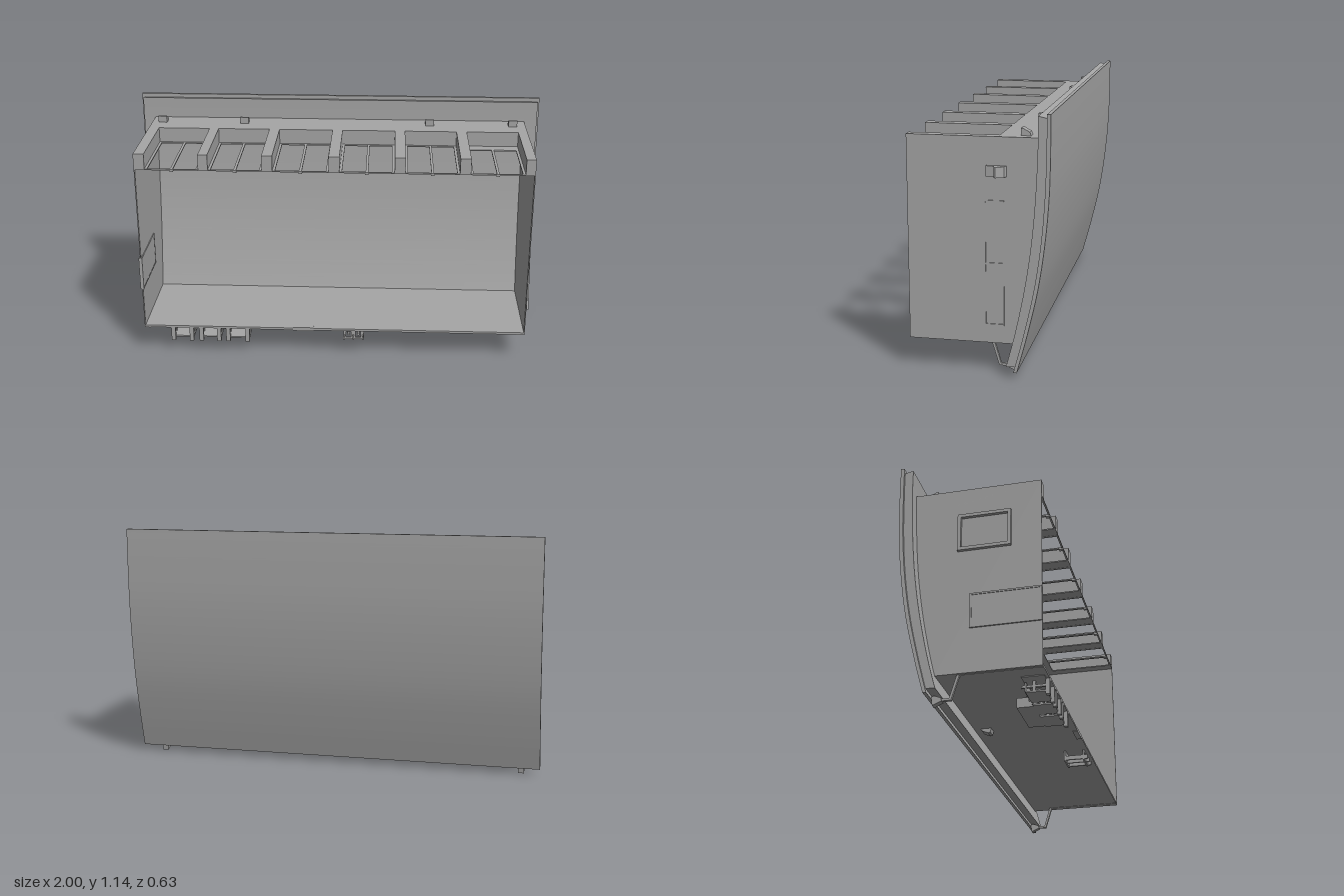
import * as THREE from 'three';
import { toCreasedNormals } from 'three/addons/utils/BufferGeometryUtils.js';

const grey = new THREE.MeshStandardMaterial({ color: 0xa6a6a6, side: THREE.DoubleSide });
grey.name = 'plain grey';

// Curved profiles as [z, y], bottom to top
const OUTER = [[-0.173, 0.03], [-0.218, 0.2], [-0.263, 0.4], [-0.292, 0.6], [-0.309, 0.8], [-0.314, 1.0], [-0.314, 1.14]];
const SEAM = [[-0.158, 0.03], [-0.202, 0.2], [-0.246, 0.4], [-0.275, 0.6], [-0.291, 0.8], [-0.297, 1.0], [-0.298, 1.14]];
const INNER = [[-0.124, 0.05], [-0.163, 0.2], [-0.204, 0.4], [-0.233, 0.6], [-0.25, 0.8], [-0.259, 1.0], [-0.26, 1.13]];

const smooth = (pts) => new THREE.SplineCurve(pts.map(([z, y]) => new THREE.Vector2(z, y))).getPoints(30).map((p) => [p.x, p.y]);
const between = (pts, lo, hi) => pts.filter(([, y]) => y >= lo && y <= hi);

export function createModel() {
  const model = new THREE.Group();
  const add = (name, geo, parent = model) => {
    const mesh = new THREE.Mesh(geo, grey);
    mesh.name = name;
    parent.add(mesh);
    return mesh;
  };
  // Box given by its limits
  const box = (name, x0, x1, y0, y1, z0, z1, parent) => {
    const geo = new THREE.BoxGeometry(x1 - x0, y1 - y0, z1 - z0);
    geo.translate((x0 + x1) / 2, (y0 + y1) / 2, (z0 + z1) / 2);
    return add(name, geo, parent);
  };
  // Side profile [z, y] swept along x
  const sweep = (name, pts, x0, x1, parent) => {
    const shape = new THREE.Shape(pts.map(([z, y]) => new THREE.Vector2(-z, y)));
    const geo = new THREE.ExtrudeGeometry(shape, { depth: x1 - x0, bevelEnabled: false });
    geo.rotateY(Math.PI / 2);
    geo.translate(x0, 0, 0);
    return add(name, toCreasedNormals(geo, 0.5), parent);
  };
  const rect = (a, b, c, d) => [[a, c], [b, c], [b, d], [a, d]].map(([x, y]) => new THREE.Vector2(x, y));
  const framed = (outer, holes, depth) => {
    const shape = new THREE.Shape(rect(...outer));
    holes.forEach((h) => shape.holes.push(new THREE.Path(rect(...h))));
    return new THREE.ExtrudeGeometry(shape, { depth, bevelEnabled: false });
  };
  // Frame standing on a side wall, limits in z and y
  const sideFrame = (name, x, depth, [z0, z1, y0, y1], panes) => {
    const geo = framed([-z1, -z0, y0, y1], panes.map(([a, b, c, d]) => [-b, -a, c, d]), depth);
    geo.rotateY(Math.PI / 2);
    geo.translate(x, 0, 0);
    return add(name, geo);
  };

  // Curved back panel in two layers
  const outer = smooth(OUTER), seam = smooth(SEAM), inner = smooth(INNER);
  sweep('outerPanel', [...outer, ...[...seam].reverse()], -1, 1);
  sweep('innerPanel', [...between(seam, 0.04, 1.13), ...[...inner].reverse()], -0.988, 0.988);
  const plate = between(inner, 0.15, 0.935);
  sweep('rearLiner', [...plate, ...plate.map(([z, y]) => [z + 0.003, y]).reverse()], -0.66, 0.66);

  // Open-fronted housing
  const L = -0.93, R = 0.925, F = 0.314;
  const wall = [[F, 0.135], [F, 1.03], [-0.262, 1.03], ...between(inner, 0.145, 1.0).reverse().map(([z, y]) => [z - 0.003, y]), [-0.146, 0.135]];
  sweep('rightWall', wall, L, L + 0.005);
  sweep('leftWall', wall, R - 0.005, R);
  box('floor', L, R, 0.132, 0.143, -0.148, F);

  // Top slab with six slots open to the front
  const slots = [[-0.88, -0.63], [-0.585, -0.335], [-0.285, -0.025], [0.025, 0.28], [0.33, 0.58], [0.63, 0.88]];
  box('topRearBlock', L, R, 0.953, 1.03, -0.262, -0.08);
  const edges = [L, ...slots.flat(), R];
  for (let i = 0; i < edges.length; i += 2) box('topRib', edges[i], edges[i + 1], 0.953, 1.03, -0.08, F);
  slots.forEach(([a, b], i) => {
    const m = (a + b) / 2, back = i === 5 ? 0.025 : 0.07;
    const geo = framed([a, b, -F, 0.08], [[a + 0.012, m - 0.006, -F + 0.008, i === 5 ? -0.025 + 0.05 : back], [m + 0.006, b - 0.012, -F + 0.008, back]], 0.006);
    geo.rotateX(-Math.PI / 2);
    geo.translate(0, 0.952, 0);
    add('slotFrame', geo);
    box('slotTab', m - 0.008, m + 0.008, 0.945, 0.952, F - 0.02, F);
  });

  // Locating lugs on the top, the left side and the underside
  const lug = [[-0.168, 1.03], [-0.168, 1.061], [-0.178, 1.061], [-0.207, 1.045], [-0.212, 1.03]];
  [-0.877, -0.468, 0.452, 0.861].forEach((x) => sweep('topLug', lug, x - 0.021, x + 0.021));
  sweep('bottomLug', [[-0.065, 0.135], [-0.07, 0.113], [-0.08, 0.11], [-0.11, 0.122], [-0.117, 0.135]], -0.321, -0.275);
  const sideLug = new THREE.ExtrudeGeometry(
    new THREE.Shape([[R, 0.117], [R + 0.02, 0.11], [R + 0.037, 0.075], [R + 0.035, 0.068], [R + 0.012, 0.065], [R + 0.01, 0.03], [R, 0.03]].map(([x, y]) => new THREE.Vector2(x, y))),
    { depth: 0.046, bevelEnabled: false });
  sideLug.rotateX(-Math.PI / 2);
  sideLug.translate(0, 0.862, 0);
  add('sideLug', sideLug);

  // Side wall frames and plates
  sideFrame('leftWindowFrame', R, 0.004, [-0.105, -0.02, 0.212, 0.76], [[-0.099, -0.026, 0.218, 0.481], [-0.099, -0.026, 0.489, 0.754]]);
  sideFrame('rightUpperFrame', L - 0.015, 0.015, [-0.06, 0.18, 0.715, 0.895], [[-0.045, 0.165, 0.73, 0.88]]);
  box('rightLowerPlate', L - 0.004, L + 0.008, 0.345, 0.492, 0.008, 0.306);
  sideFrame('rightLowerFrame', L - 0.007, 0.016, [0, F, 0.337, 0.5], [[0.008, 0.306, 0.345, 0.492]]);

  // Bent support arms with feet
  const arm = [[F, 0.143], [-0.052, 0.143], [-0.085, 0.032], [-0.155, 0.032], [-0.155, 0.022], [-0.077, 0.022], [-0.044, 0.13], [F, 0.13]];
  [-0.91, 0.893].forEach((x) => {
    const group = new THREE.Group();
    group.name = 'supportArm';
    model.add(group);
    sweep('armStrip', arm, x - 0.007, x + 0.007, group);
    sweep('foot', [[-0.115, 0.02], [-0.155, 0.002], [-0.16, 0.04], [-0.148, 0.045], [-0.118, 0.034]], x - 0.014, x + 0.014, group);
  });

  // Three latch clips beneath the floor
  [[-0.8, -0.69], [-0.662, -0.555], [-0.53, -0.415]].forEach(([a, b]) => {
    const clip = new THREE.Group();
    clip.name = 'latchClip';
    model.add(clip);
    [a, b - 0.02].forEach((x) => {
      box('clipPost', x, x + 0.02, 0.062, 0.132, 0.296, F, clip);
      box('clipRail', x + 0.004, x + 0.016, 0.1, 0.11, 0.19, 0.3, clip);
      box('clipHanger', x + 0.004, x + 0.016, 0.08, 0.132, 0.24, 0.252, clip);
    });
    box('clipBar', a, b, 0.075, 0.082, 0.21, 0.3, clip);
    box('clipBack', a, b, 0.082, 0.122, 0.205, 0.213, clip);
  });
  box('latchHousing', -0.65, -0.42, 0.076, 0.121, 0.135, 0.212);
  box('latchMount', -0.84, -0.4, 0.128, 0.133, 0.2, 0.3);
  box('mountStrip', -0.2, -0.1, 0.128, 0.146, 0.29, F);

  // Small socket beneath the floor
  const socket = new THREE.Group();
  socket.name = 'socket';
  model.add(socket);
  const face = framed([0.045, 0.145, 0.08, 0.134], [[0.058, 0.082, 0.09, 0.122], [0.105, 0.13, 0.09, 0.122]], 0.008);
  face.translate(0, 0, 0.29);
  add('socketFace', face, socket);
  [0.045, 0.09, 0.137].forEach((x) => box('socketRail', x, x + 0.008, 0.085, 0.105, 0.2, 0.314, socket));
  [0.07, 0.118].forEach((x) => {
    const pin = new THREE.CylinderGeometry(0.007, 0.007, 0.09, 12);
    pin.rotateX(Math.PI / 2);
    pin.translate(x, 0.106, 0.25);
    add('socketPin', pin, socket);
  });
  box('socketBack', 0.045, 0.145, 0.08, 0.132, 0.2, 0.208, socket);

  return model;
}
